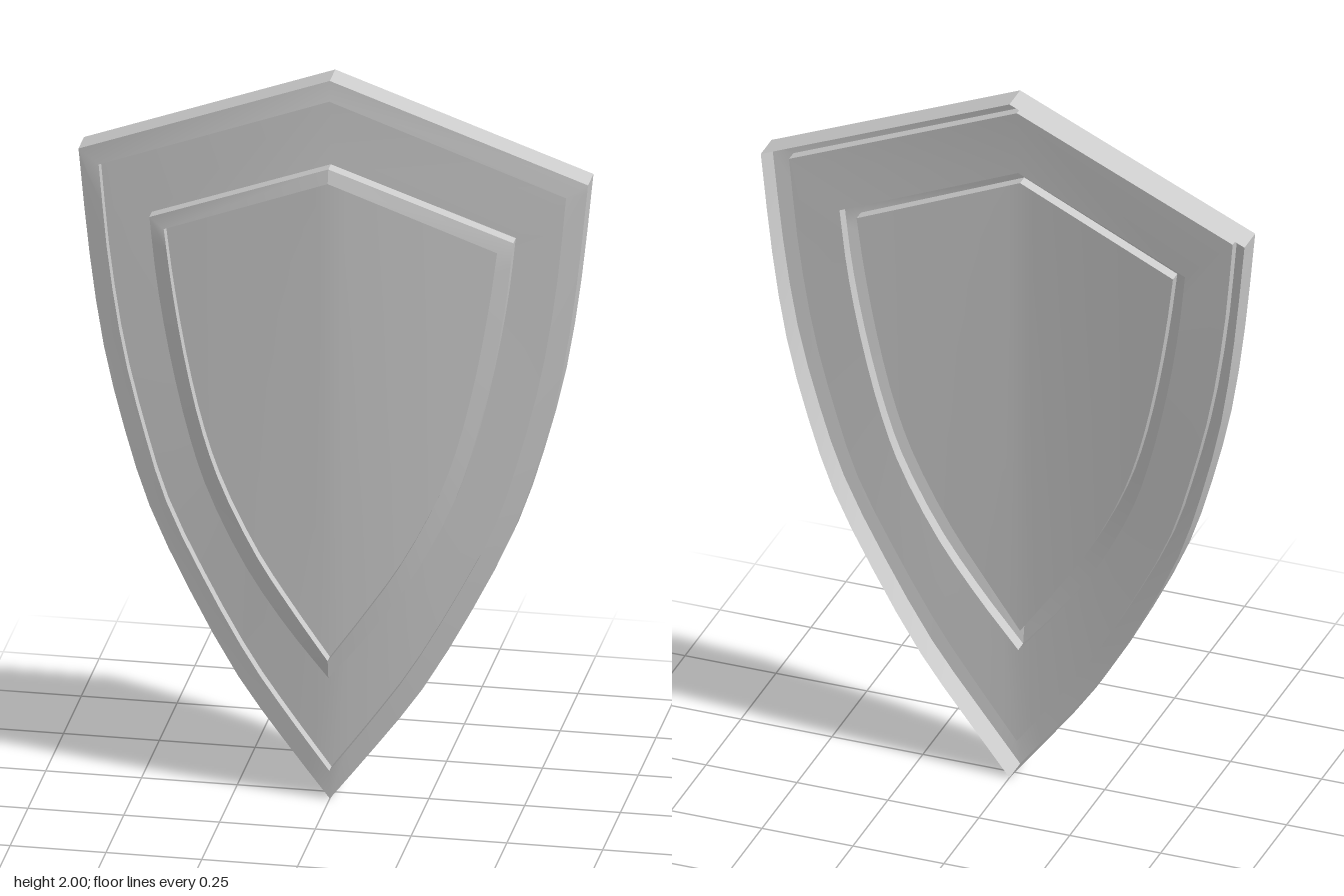
import * as THREE from 'three';
import { toCreasedNormals } from 'three/addons/utils/BufferGeometryUtils.js';

const material = new THREE.MeshStandardMaterial({ color: 0xcccccc, side: THREE.DoubleSide });
const STEPS = 18;

// Right half of each outline: top point height, then the side from corner to tip
const OUTLINES = {
  outer: { apex: 2, bend: 0.11, side: [[0.665, 1.74], [0.66, 1.69], [0.635, 1.45], [0.597, 1.2], [0.54, 0.97], [0.475, 0.77], [0.37, 0.55], [0.24, 0.32], [0.12, 0.155], [0, 0]] },
  outerInset: { apex: 1.945, bend: 0.115, side: [[0.61, 1.705], [0.585, 1.45], [0.545, 1.2], [0.49, 0.98], [0.43, 0.79], [0.325, 0.575], [0.205, 0.365], [0.1, 0.215], [0, 0.08]] },
  inner: { apex: 1.762, bend: 0.19, side: [[0.475, 1.575], [0.455, 1.4], [0.42, 1.2], [0.37, 0.99], [0.32, 0.84], [0.22, 0.64], [0.11, 0.48], [0, 0.345]] },
  innerInset: { apex: 1.725, bend: 0.2, side: [[0.435, 1.55], [0.415, 1.4], [0.38, 1.2], [0.335, 1.01], [0.285, 0.865], [0.19, 0.675], [0.095, 0.53], [0, 0.395]] },
};

// Side curve from corner to tip; depth falls off with x squared
function sidePoints(name, z) {
  const { side, bend } = OUTLINES[name];
  const curve = new THREE.CatmullRomCurve3(side.map(([x, y]) => new THREE.Vector3(x, y, 0)));
  return curve.getPoints(STEPS).map((p) => p.setZ(z - bend * p.x * p.x));
}

// Closed outline: top point, down the left side, back up the mirrored side
function loop(name, z) {
  const half = sidePoints(name, z);
  const mirrored = half.slice(0, -1).reverse().map((p) => new THREE.Vector3(-p.x, p.y, p.z));
  return [new THREE.Vector3(0, OUTLINES[name].apex, z), ...half, ...mirrored];
}

function makeMesh(name, triangles) {
  const flat = new THREE.BufferGeometry().setFromPoints(triangles);
  const mesh = new THREE.Mesh(toCreasedNormals(flat, THREE.MathUtils.degToRad(20)), material);
  mesh.name = name;
  return mesh;
}

// Joins consecutive outlines into bands
function bands(name, loops) {
  const tris = [];
  for (let k = 0; k + 1 < loops.length; k++) {
    const a = loops[k], b = loops[k + 1];
    for (let i = 0; i < a.length; i++) {
      const j = (i + 1) % a.length;
      tris.push(a[i], b[i], a[j], a[j], b[i], b[j]);
    }
  }
  return makeMesh(name, tris);
}

// Panel of vertical columns between the straight top edge and the side curve
function panel(name, outline, z) {
  const bottom = sidePoints(outline, z);
  const corner = bottom[0];
  const apex = new THREE.Vector3(0, OUTLINES[outline].apex, z);
  const top = bottom.map((p) => apex.clone().lerp(corner, p.x / corner.x));
  const flip = (p) => new THREE.Vector3(-p.x, p.y, p.z);
  const tris = [];
  const add = (a, b, c) => tris.push(a, b, c, flip(a), flip(c), flip(b));
  for (let i = 0; i < STEPS; i++) {
    add(top[i], top[i + 1], bottom[i + 1]);
    if (i > 0) add(top[i], bottom[i + 1], bottom[i]);
  }
  return makeMesh(name, tris);
}

export function createModel() {
  const shield = new THREE.Group();
  shield.name = 'shield';
  const plateEdge = loop('outerInset', 0.022);
  const plateHole = loop('inner', 0.032);

  // Outer rim: side wall, sloped face, step down to the plate
  shield.add(bands('outerRim', [
    loop('outer', -0.031), loop('outer', 0.046), loop('outerInset', 0.053), plateEdge,
  ]));

  // Recessed plate between the two rims
  shield.add(bands('plate', [plateEdge, plateHole]));

  // Raised inner rim
  shield.add(bands('innerRim', [
    plateHole, loop('inner', 0.067), loop('innerInset', 0.076), loop('innerInset', 0.045),
  ]));

  // Curved centre panel
  shield.add(panel('centrePanel', 'innerInset', 0.045));
  return shield;
}
